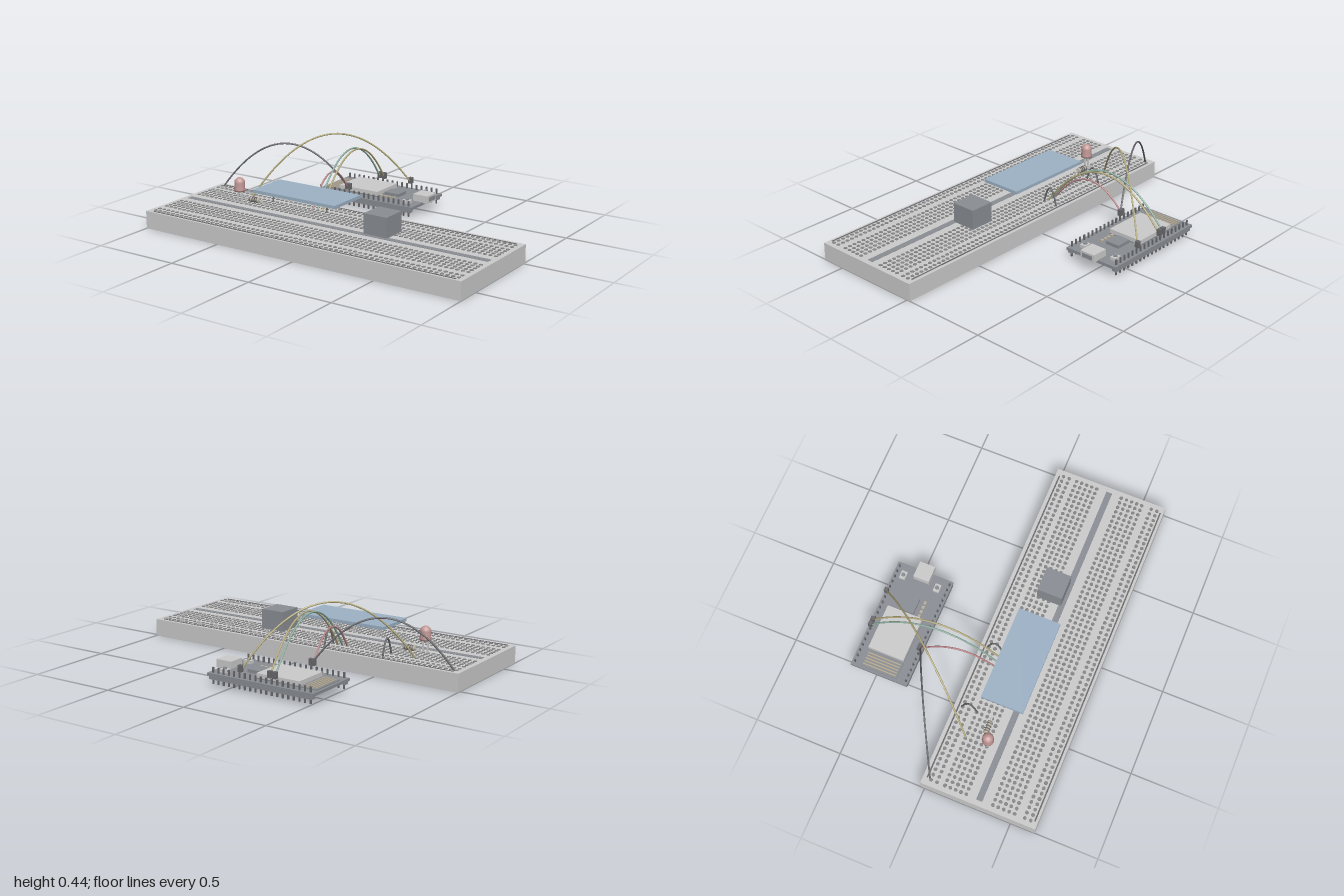
import * as THREE from 'three';
import { mergeGeometries } from 'three/addons/utils/BufferGeometryUtils.js';

const mat = (color = 0xcccccc) => new THREE.MeshStandardMaterial({ color });
const MAT = {
  grey: mat(), dark: mat(0x8a8e94), hole: mat(0x858585), black: mat(0x6a6a6e),
  metal: mat(0xbcbec0), screen: mat(0x9db2c6), led: mat(0xc39a98), gold: mat(0xb8aa90),
  red: mat(0xb88588), green: mat(0x8fb0a0), yellow: mat(0xb3aa7c), tan: mat(0xb8b0a0),
};

// Box geometry from its min and max extents
function span(x0, x1, y0, y1, z0, z1) {
  return new THREE.BoxGeometry(x1 - x0, y1 - y0, z1 - z0)
    .translate((x0 + x1) / 2, (y0 + y1) / 2, (z0 + z1) / 2);
}

function add(group, name, geometry, material) {
  const mesh = new THREE.Mesh(Array.isArray(geometry) ? mergeGeometries(geometry) : geometry, material);
  mesh.name = name;
  group.add(mesh);
  return mesh;
}

function section(parent, name) {
  const group = new THREE.Group();
  group.name = name;
  parent.add(group);
  return group;
}

// Arched wire whose middle reaches the given height
function wire(group, name, a, b, peak, material, radius = 0.005) {
  const start = new THREE.Vector3(...a), end = new THREE.Vector3(...b);
  const control = start.clone().add(end).multiplyScalar(0.5);
  control.y = 2 * peak - control.y;
  const curve = new THREE.QuadraticBezierCurve3(start, control, end);
  add(group, name, new THREE.TubeGeometry(curve, 32, radius, 8), material);
}

function buildBreadboard(root) {
  const g = section(root, 'breadboard');
  add(g, 'base', span(-1, 1, 0, 0.1, -0.02, 0.64), MAT.grey);
  add(g, 'centreGroove', span(-0.97, 0.97, 0.095, 0.102, 0.29, 0.325), MAT.dark);
  add(g, 'railLines', [0.004, 0.622].map(z => span(-0.96, 0.96, 0.099, 0.102, z - 0.004, z + 0.004)), MAT.black);

  // Contact holes: two rails and two banks of five rows
  const rows = [0.027, 0.062, 0.566, 0.6];
  for (let i = 0; i < 5; i++) rows.push(0.108 + i * 0.031, 0.384 + i * 0.031);
  const holes = [];
  for (const z of rows) {
    for (let i = 0; i < 63; i++) {
      holes.push(new THREE.CylinderGeometry(0.0105, 0.0105, 0.005, 8)
        .translate((i - 31) * 0.0311, 0.1005, z));
    }
  }
  add(g, 'holes', holes, MAT.hole);
}

function buildController(root) {
  const g = section(root, 'controllerBoard');
  add(g, 'circuitBoard', span(-0.53, 0.13, 0.054, 0.07, -0.645, -0.308), MAT.dark);
  add(g, 'radioModule', span(-0.515, -0.145, 0.07, 0.076, -0.59, -0.375), MAT.dark);
  add(g, 'shieldCan', span(-0.41, -0.145, 0.07, 0.1, -0.588, -0.378), MAT.metal);

  // Antenna traces
  const traces = [];
  for (let i = 0; i < 5; i++) traces.push(span(-0.504 + i * 0.017, -0.497 + i * 0.017, 0.075, 0.079, -0.58, -0.385));
  add(g, 'antenna', traces, MAT.gold);

  add(g, 'chip', span(-0.135, -0.04, 0.07, 0.088, -0.524, -0.44), MAT.dark);
  const capacitors = [];
  for (let i = 0; i < 4; i++) capacitors.push(span(-0.14 + i * 0.028, -0.122 + i * 0.028, 0.07, 0.08, -0.413, -0.398));
  add(g, 'capacitors', capacitors, MAT.tan);

  // USB socket with its opening
  add(g, 'usbSocket', span(0.065, 0.162, 0.066, 0.11, -0.525, -0.432), MAT.metal);
  add(g, 'usbOpening', span(0.15, 0.165, 0.076, 0.1, -0.512, -0.445), MAT.dark);

  // Push buttons
  for (const z of [-0.585, -0.378]) {
    add(g, 'buttonBody', span(0.036, 0.082, 0.07, 0.087, z - 0.017, z + 0.017), MAT.metal);
    add(g, 'buttonCap', new THREE.CylinderGeometry(0.011, 0.011, 0.01, 16).translate(0.059, 0.091, z), MAT.dark);
  }

  // Header strips and pins along both long edges
  const strips = [], pins = [];
  for (const z of [-0.627, -0.322]) {
    strips.push(span(-0.52, 0.12, 0.036, 0.054, z - 0.014, z + 0.014));
    for (let i = 0; i < 19; i++) {
      const x = -0.505 + i * 0.0338;
      pins.push(span(x - 0.004, x + 0.004, 0.01, 0.1, z - 0.004, z + 0.004));
    }
  }
  add(g, 'headers', strips, MAT.dark);
  add(g, 'pins', pins, MAT.black);
}

function buildParts(root) {
  // Display panel
  const display = section(root, 'display');
  add(display, 'displayPanel', span(-0.475, 0.07, 0.222, 0.24, 0.112, 0.355), MAT.screen);

  // Block-shaped sensor
  add(root, 'sensorBlock', span(0.218, 0.362, 0.1, 0.214, 0.16, 0.305), MAT.dark);

  // Indicator lamp: flanged dome on two legs
  const led = section(root, 'lamp');
  const profile = [[0, 0], [0.033, 0], [0.033, 0.012], [0.03, 0.012], [0.03, 0.048]]
    .map(p => new THREE.Vector2(...p));
  for (let i = 1; i <= 8; i++) {
    const a = i / 8 * Math.PI / 2;
    profile.push(new THREE.Vector2(0.03 * Math.cos(a), 0.048 + 0.03 * Math.sin(a)));
  }
  add(led, 'lens', new THREE.LatheGeometry(profile, 24).translate(-0.665, 0.172, 0.232), MAT.led);
  add(led, 'legs', [-0.68, -0.65].map(x => span(x - 0.004, x + 0.004, 0.09, 0.175, 0.228, 0.236)), MAT.metal);

  // Resistor with bulged ends and bent leads
  const resistor = section(root, 'resistor');
  const body = [[0, -0.036], [0.012, -0.036], [0.016, -0.03], [0.016, -0.02], [0.012, -0.014],
    [0.012, 0.014], [0.016, 0.02], [0.016, 0.03], [0.012, 0.036], [0, 0.036]].map(p => new THREE.Vector2(...p));
  add(resistor, 'body', new THREE.LatheGeometry(body, 16).rotateZ(Math.PI / 2).translate(-0.587, 0.125, 0.2), MAT.tan);
  const bands = [-0.61, -0.595, -0.58, -0.565].map(x =>
    new THREE.CylinderGeometry(0.0165, 0.0165, 0.005, 16).rotateZ(Math.PI / 2).translate(x, 0.125, 0.2));
  add(resistor, 'bands', bands, MAT.black);
  add(resistor, 'leads', [
    span(-0.655, -0.525, 0.122, 0.128, 0.197, 0.203),
    span(-0.655, -0.649, 0.09, 0.128, 0.197, 0.203),
    span(-0.531, -0.525, 0.09, 0.128, 0.197, 0.203),
  ], MAT.metal);
}

function buildWires(root) {
  const g = section(root, 'wires');
  const near = -0.322, far = -0.627;
  // Name, board end, pin end, peak height and colour
  const runs = [
    ['groundWire', [-0.96, 0.095, 0.02], [-0.302, 0.11, near], 0.368, MAT.black],
    ['signalWire', [-0.68, 0.095, 0.11], [-0.073, 0.11, far], 0.438, MAT.yellow],
    ['powerWire', [-0.25, 0.095, 0.11], [-0.315, 0.11, near], 0.258, MAT.red],
    ['dataWire', [-0.22, 0.095, 0.11], [-0.289, 0.11, far], 0.364, MAT.green],
    ['clockWire', [-0.19, 0.095, 0.11], [-0.258, 0.11, far], 0.364, MAT.yellow],
  ];
  for (const [name, a, b, peak, material] of runs) {
    wire(g, name, a, b, peak, material);
    add(g, name + 'Plug', span(b[0] - 0.011, b[0] + 0.011, 0.104, 0.14, b[2] - 0.011, b[2] + 0.011), MAT.black);
  }
  for (const x of [-0.526, -0.157]) {
    wire(g, 'jumper', [x, 0.095, 0.02], [x, 0.095, 0.112], 0.195, MAT.black);
  }
}

export function createModel() {
  const root = new THREE.Group();
  root.name = 'prototypingKit';
  buildBreadboard(root);
  buildController(root);
  buildParts(root);
  buildWires(root);
  return root;
}
